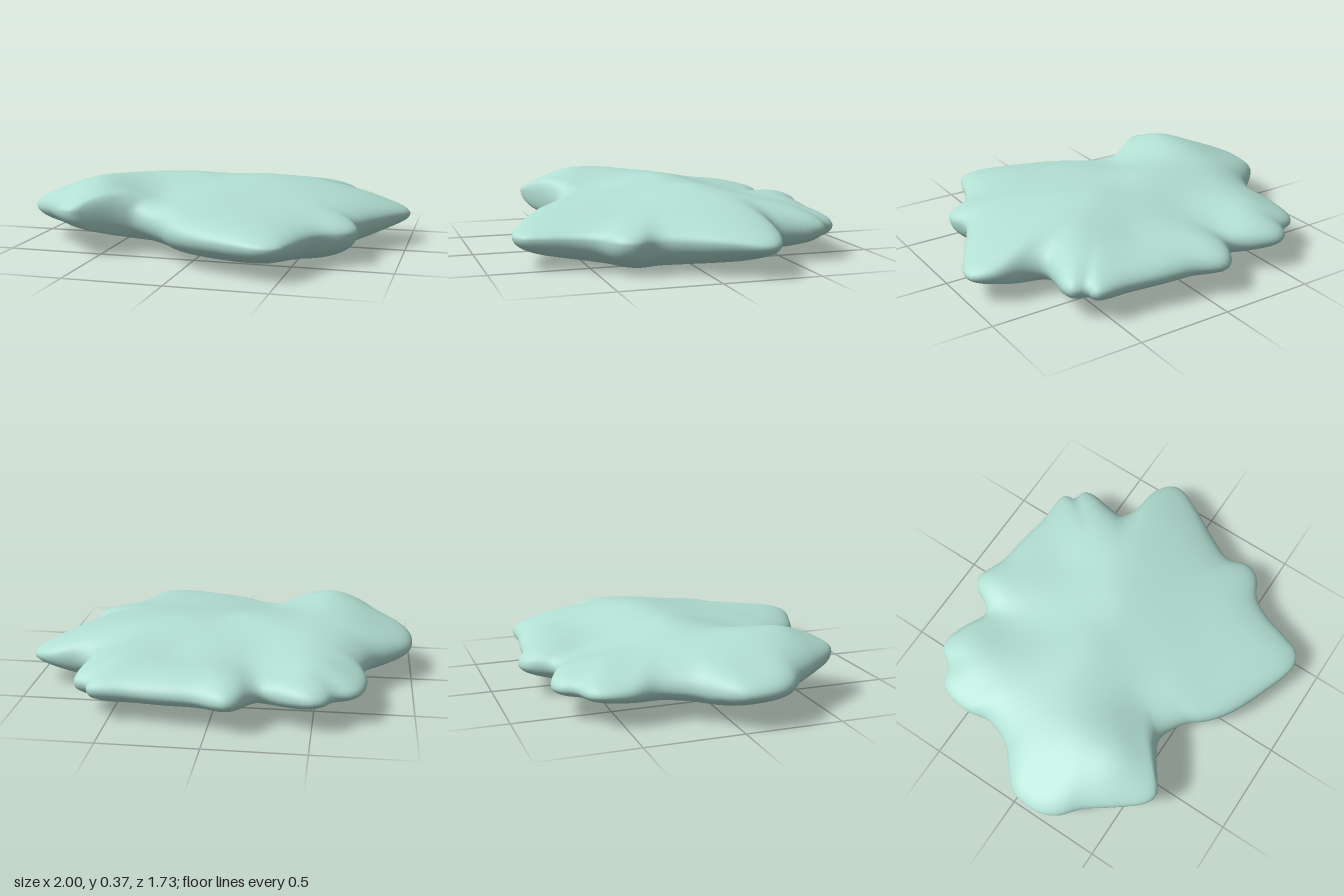
import * as THREE from 'three';
import { mergeVertices } from 'three/addons/utils/BufferGeometryUtils.js';

// Rim of the slab as [x, z, height], counter-clockwise seen from above
const RIM_HEIGHT = 0.165;
const RIM = [
  [1, -0.22, 0.155], [0.99, -0.28, 0.155], [0.9, -0.34], [0.72, -0.37], [0.66, -0.41], [0.665, -0.5],
  [0.685, -0.62], [0.67, -0.68], [0.605, -0.7], [0.59, -0.76], [0.4, -0.775], [0.22, -0.8], [0.05, -0.82],
  [-0.05, -0.86], [-0.1, -0.87], [-0.15, -0.84], [-0.22, -0.73], [-0.26, -0.71], [-0.4, -0.77],
  [-0.5, -0.795], [-0.56, -0.77], [-0.61, -0.7], [-0.7, -0.66], [-0.74, -0.6], [-0.76, -0.47],
  [-0.74, -0.33], [-0.8, -0.18], [-0.9, -0.09, 0.17], [-0.98, 0, 0.175], [-1, 0.1, 0.18],
  [-0.99, 0.2, 0.185], [-0.95, 0.27, 0.19], [-0.86, 0.35, 0.2], [-0.76, 0.49, 0.22], [-0.66, 0.61, 0.24],
  [-0.6, 0.635, 0.245], [-0.55, 0.61, 0.24], [-0.4, 0.51, 0.21], [-0.32, 0.48, 0.19], [-0.17, 0.55, 0.17],
  [-0.1, 0.63], [0, 0.71], [0.2, 0.8], [0.42, 0.865], [0.5, 0.835], [0.54, 0.75], [0.59, 0.6], [0.65, 0.5],
  [0.77, 0.42], [0.8, 0.35], [0.77, 0.24], [0.82, 0.12], [0.93, -0.07],
];

// Height hints [x, z, y] for the upper face: ridges, valleys and lobes
const TOP = [
  [0, 0, 0.345], [-0.15, -0.1, 0.36], [0.2, -0.15, 0.355], [0.45, -0.25, 0.33], [0.75, -0.23, 0.275],
  [0.92, -0.22, 0.235], [0.6, 0, 0.295], [0.7, 0.3, 0.25], [0.3, 0.3, 0.285], [0, 0.35, 0.29],
  [0.35, 0.6, 0.25], [0.42, 0.78, 0.23], [0, 0.6, 0.255], [-0.25, 0.32, 0.29], [-0.55, 0.15, 0.37],
  [-0.55, 0.38, 0.375], [-0.6, 0.55, 0.325], [-0.85, 0.1, 0.29], [-0.6, -0.15, 0.325], [-0.35, 0.1, 0.345],
  [-0.3, -0.15, 0.35], [-0.2, -0.35, 0.29], [-0.25, -0.6, 0.24], [-0.5, -0.55, 0.285], [-0.68, -0.5, 0.25],
  [-0.1, -0.7, 0.265], [0.2, -0.48, 0.275], [0.15, -0.7, 0.265], [0.5, -0.55, 0.28], [0.55, -0.7, 0.25],
  [0.2, 0.1, 0.325],
];

// Height hints for the underside
const BOTTOM = [
  [0, 0, 0.02], [0, 0.3, 0.015], [0.3, 0.25, 0.01], [0.55, 0.3, 0.005], [0.2, 0.55, 0.035], [0.4, 0.75, 0.06],
  [0.6, 0, 0.02], [0.75, -0.2, 0.045], [0.92, -0.2, 0.075], [-0.3, 0.2, 0.045], [-0.7, 0.1, 0.06],
  [-0.9, 0.1, 0.09], [-0.55, 0.45, 0.11], [-0.5, -0.4, 0.075], [0, -0.4, 0.03], [0, -0.75, 0.08],
  [0.5, -0.6, 0.06],
];

const kernel = (x, z) => Math.sqrt(x * x + z * z + 0.008);

// Smooth surface through all the hints: radial functions weighted by elimination
function heightField(hints) {
  const n = hints.length;
  const mean = hints.reduce((sum, h) => sum + h[2], 0) / n;
  const rows = hints.map(([x, z, y]) => [...hints.map((h) => kernel(x - h[0], z - h[1])), y - mean]);
  for (let c = 0; c < n; c++) {
    let pivot = c;
    for (let r = c + 1; r < n; r++) if (Math.abs(rows[r][c]) > Math.abs(rows[pivot][c])) pivot = r;
    [rows[c], rows[pivot]] = [rows[pivot], rows[c]];
    for (let r = 0; r < n; r++) {
      if (r === c) continue;
      const f = rows[r][c] / rows[c][c];
      for (let k = c; k <= n; k++) rows[r][k] -= f * rows[c][k];
    }
  }
  const weights = rows.map((row, i) => row[n] / row[i]);
  return (x, z) => hints.reduce((sum, h, i) => sum + weights[i] * kernel(x - h[0], z - h[1]), mean);
}

function slabGeometry() {
  const SEGMENTS = 220, RINGS = 26;
  const curve = new THREE.CatmullRomCurve3(
    RIM.map(([x, z, y = RIM_HEIGHT]) => new THREE.Vector3(x, y, z)), true, 'centripetal');
  const rim = curve.getSpacedPoints(SEGMENTS).slice(0, SEGMENTS);
  const top = heightField(TOP), bottom = heightField(BOTTOM);

  // Rings run from the top centre, round the rim, to the bottom centre
  const positions = [], indices = [];
  for (let k = 0; k <= 2 * RINGS; k++) {
    const r = 1 - (Math.abs(k - RINGS) / RINGS) ** 2;
    const round = Math.sqrt(Math.max(0, 1 - r ** 9));
    for (const p of rim) {
      const x = p.x * r, z = p.z * r;
      const face = k < RINGS ? top(x, z) : bottom(x, z);
      positions.push(x, p.y + (face - p.y) * round, z);
    }
  }
  for (let k = 0; k < 2 * RINGS; k++) {
    for (let i = 0; i < SEGMENTS; i++) {
      const j = (i + 1) % SEGMENTS;
      const a = k * SEGMENTS + i, d = k * SEGMENTS + j;
      const b = a + SEGMENTS, c = d + SEGMENTS;
      if (k < 2 * RINGS - 1) indices.push(a, b, c);
      else indices.push(a, b, d);
      if (k > 0 && k < 2 * RINGS - 1) indices.push(a, c, d);
    }
  }
  let geometry = new THREE.BufferGeometry();
  geometry.setAttribute('position', new THREE.Float32BufferAttribute(positions, 3));
  geometry.setIndex(indices);
  geometry = mergeVertices(geometry, 1e-5);
  geometry.computeBoundingBox();
  geometry.translate(0, -geometry.boundingBox.min.y, 0);
  geometry.computeVertexNormals();
  return geometry;
}

export function createModel() {
  const group = new THREE.Group();
  group.name = 'flatRock';
  const stone = new THREE.MeshStandardMaterial({ color: 0xb2dfd3 });
  stone.name = 'paleGreenStone';
  const slab = new THREE.Mesh(slabGeometry(), stone);
  slab.name = 'rockSlab';
  group.add(slab);
  return group;
}
